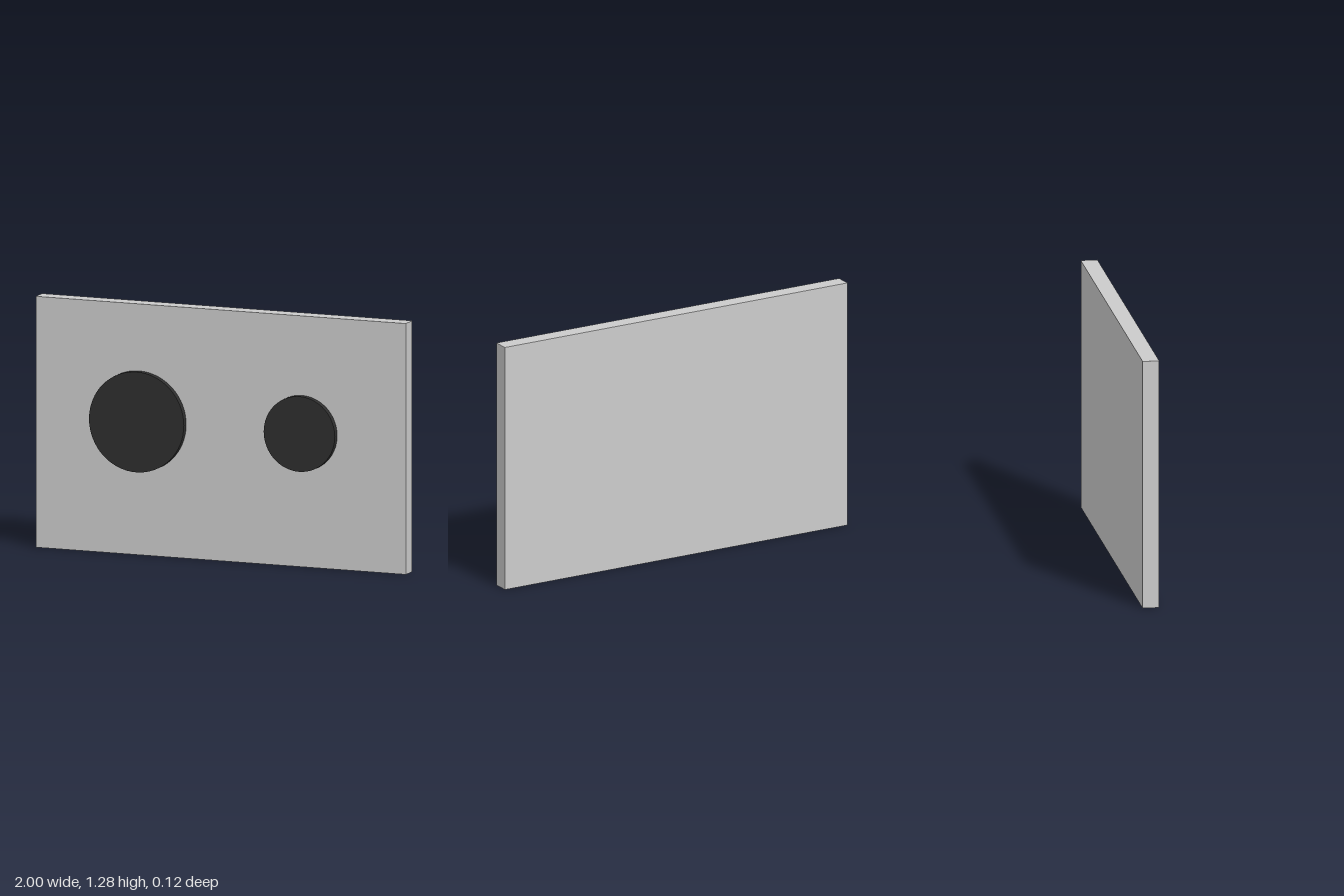
import * as THREE from 'three';

export function createModel() {
  const group = new THREE.Group();
  const grey = new THREE.MeshStandardMaterial({ color: 0xcccccc });
  const dark = new THREE.MeshStandardMaterial({ color: 0x2e2e2e });

  // Upright flat panel
  const height = 1.28, back = -0.06, front = 0.024;
  const panel = new THREE.Mesh(new THREE.BoxGeometry(2, height, front - back), grey);
  panel.name = 'panel';
  panel.position.set(0, height / 2, (front + back) / 2);
  group.add(panel);

  // Thin round disc on the front, with its axis along z
  const addDisc = (name, x, radius) => {
    const near = 0.06, far = 0.027;
    const geometry = new THREE.CylinderGeometry(radius, radius, near - far, 64);
    geometry.rotateX(Math.PI / 2);
    const disc = new THREE.Mesh(geometry, dark);
    disc.name = name;
    disc.position.set(x, 0.683, (near + far) / 2);
    group.add(disc);
  };
  addDisc('largeDisc', -0.442, 0.256);
  addDisc('smallDisc', 0.438, 0.192);

  return group;
}
